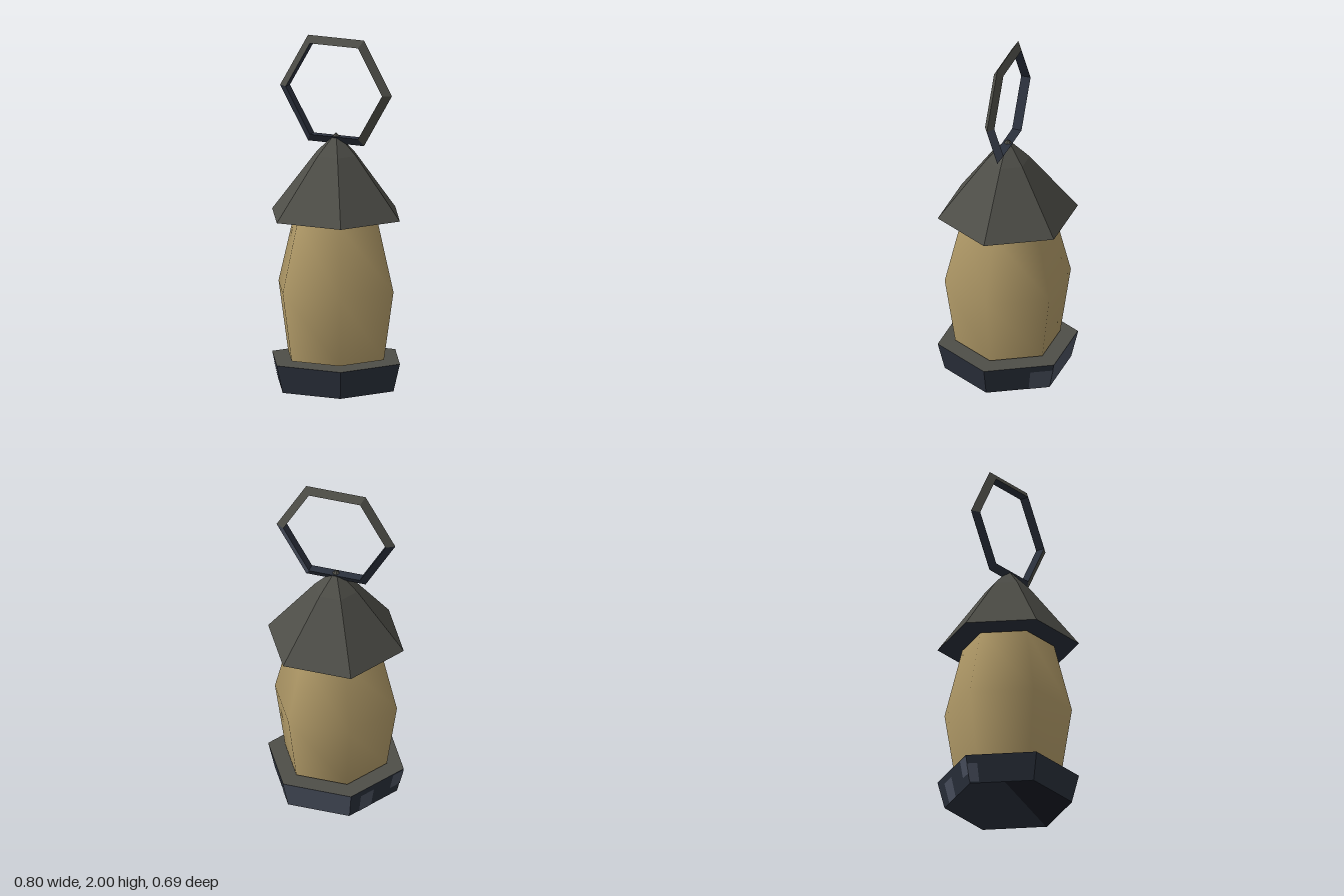
import * as THREE from 'three';

const paint = (name, color, side = THREE.FrontSide) =>
  Object.assign(new THREE.MeshStandardMaterial({ color, side }), { name });

// Unindexed copy with one normal per face
function faceted(geometry) {
  const flat = geometry.index ? geometry.toNonIndexed() : geometry;
  flat.computeVertexNormals();
  return flat;
}

// Six-sided shell with corners on the x axis
const hexLathe = (profile) => new THREE.LatheGeometry(
  profile.map(([r, y]) => new THREE.Vector2(r, y)), 6, Math.PI / 6);

const BASE = { low: 0.36, high: 0.4, height: 0.16 };

// Thin quad on one base side: t runs along the side, v runs upward
function sidePanel(degrees, t0, t1, v0, v1) {
  const corner = (t, v) => {
    const r = 1.006 * THREE.MathUtils.lerp(BASE.low, BASE.high, v);
    const at = (d) => new THREE.Vector3(
      r * Math.cos(THREE.MathUtils.degToRad(d)), v * BASE.height, r * Math.sin(THREE.MathUtils.degToRad(d)));
    return at(degrees).lerp(at(degrees + 60), t);
  };
  const a = corner(t0, v0), b = corner(t0, v1), c = corner(t1, v1), d = corner(t1, v0);
  return faceted(new THREE.BufferGeometry().setFromPoints([a, b, c, a, c, d]));
}

export function createModel() {
  const grey = paint('dark grey metal', 0x4e4e48);
  const navy = paint('navy metal', 0x2b313d);
  const slate = paint('worn slate metal', 0x4c5362);
  const black = paint('sooty metal', 0x1a1d26);
  const amber = paint('amber glass', 0xb39c69, THREE.DoubleSide);

  const model = new THREE.Group();
  model.name = 'lantern';
  const add = (name, geometry, material, y = 0) => {
    const mesh = new THREE.Mesh(geometry, material);
    mesh.name = name;
    mesh.position.y = y;
    model.add(mesh);
    return mesh;
  };
  const hexUp = (r) => new THREE.CircleGeometry(r, 6).rotateX(-Math.PI / 2);
  const hexDown = (r) => new THREE.CircleGeometry(r, 6).rotateX(Math.PI / 2);

  // Flared base
  add('baseSides', faceted(hexLathe([[BASE.low, 0], [BASE.high, BASE.height]])), navy);
  add('baseTop', hexUp(BASE.high), grey, BASE.height);
  add('baseBottom', hexDown(BASE.low), navy);

  // Dark area under the base
  const soot = new THREE.Shape([[0.36, 0], [0.18, 0.312], [-0.18, 0.312], [-0.26, 0.17]]
    .map(([x, z]) => new THREE.Vector2(x, z)));
  add('baseBottomSoot', new THREE.ShapeGeometry(soot).rotateX(Math.PI / 2), black, -0.002);

  // Worn patches on the base sides
  for (const patch of [
    [240, 0, 1, 0, 1],
    [300, 0, 0.33, 0, 0.76],
    [180, 0.55, 0.8, 0, 0.75],
    [180, 0, 0.2, 0.35, 0.95],
    [120, 0.85, 1, 0.05, 0.7],
  ]) add('basePatch', sidePanel(...patch), slate);

  // Bulging glass, smooth around
  add('glass', hexLathe([[0.3, 0.175], [0.36, 0.57], [0.26, 0.97]]), amber);

  // Peaked roof with a flat underside
  add('roof', faceted(hexLathe([[0.4, 0.98], [0.125, 1.33], [0, 1.455]])), grey);
  add('roofUnderside', hexDown(0.4), navy, 0.98);

  // Six-sided carrying ring of triangular section: front, inner and back faces
  const ring = faceted(new THREE.TorusGeometry(0.318, 0.0323, 3, 6));
  const ringColours = [
    [0, 0, 0, 1, 1, 0],
    [1, 1, 1, 1, 1, 1],
    [0, 0, 0, 1, 1, 2],
  ];
  ring.clearGroups();
  ringColours.flat().forEach((colour, i) => ring.addGroup(i * 6, 6, colour));
  add('carryRing', ring, [grey, navy, slate], 1.695);

  return model;
}
